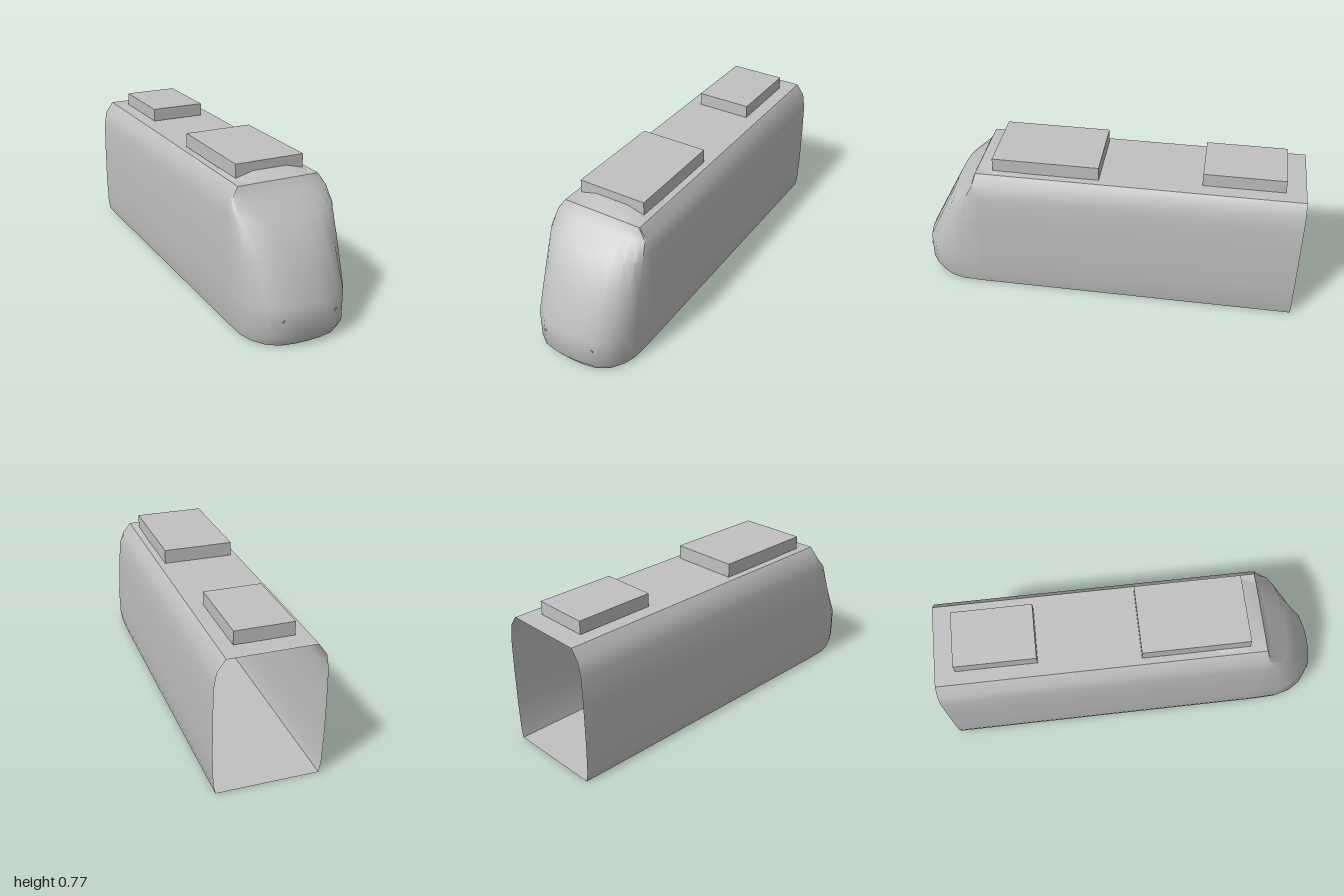
import * as THREE from 'three';
import { toCreasedNormals } from 'three/addons/utils/BufferGeometryUtils.js';

const NOSE_Z = 0.66;

// height, half width, furthest forward point of the nose
const LEVELS = [
  [0, 0.255, 0.96], [0.05, 0.265, 0.995], [0.2, 0.27, 0.99], [0.4, 0.27, 0.885],
  [0.56, 0.267, 0.8], [0.635, 0.254, 0.695], [0.692, 0.213, NOSE_Z],
];

// rounded plan of the nose: share of half width, share of depth
const PLAN = [[1, 0], [0.985, 0.4], [0.91, 0.62], [0.75, 0.82], [0.53, 0.945], [0.25, 0.99]];

// skin a grid of points; rows must all be the same length
function loft(rows, crease) {
  const n = rows[0].length;
  const index = [];
  for (let i = 0; i < rows.length - 1; i++) {
    for (let j = 0; j < n - 1; j++) {
      const a = i * n + j;
      index.push(a, a + 1, a + n, a + 1, a + n + 1, a + n);
    }
  }
  const geometry = new THREE.BufferGeometry();
  geometry.setAttribute('position', new THREE.Float32BufferAttribute(rows.flat(2), 3));
  geometry.setIndex(index);
  return toCreasedNormals(geometry, crease);
}

export function createModel() {
  const group = new THREE.Group();
  const grey = new THREE.MeshStandardMaterial({ color: 0xc0c0c0, side: THREE.DoubleSide });
  grey.name = 'light grey';

  const add = (name, geometry, x = 0, y = 0, z = 0) => {
    const mesh = new THREE.Mesh(geometry, grey);
    mesh.name = name;
    mesh.position.set(x, y, z);
    group.add(mesh);
    return mesh;
  };

  // long hollow body, open at the rear
  const right = LEVELS.map(([y, w]) => [w, y]);
  const left = LEVELS.map(([y, w]) => [-w, y]).reverse();
  const ring = [...right, ...left, right[0]];
  add('body', loft([-1, NOSE_Z].map((z) => ring.map(([x, y]) => [x, y, z])), 0.7));

  // sloping rounded nose, starting with its flat floor
  const plan = [...PLAN.map(([u, v]) => [-u, v]), [0, 1], ...PLAN.slice().reverse()];
  const noseRows = LEVELS.map(([y, w, front]) =>
    plan.map(([u, v]) => [u * w, y, NOSE_Z + v * (front - NOSE_Z)]));
  const floorRow = noseRows[0].map(([x, y]) => [x, y, NOSE_Z]);
  add('noseFloor', loft([floorRow, noseRows[0]], 0.7));
  add('nose', loft(noseRows, 0.8));

  // low fairing leading up to the front roof unit: z, base half width, top half width, top height
  const fairing = [[0.655, 0.16, 0.1, 0.693], [0.575, 0.2, 0.09, 0.722], [0.43, 0.2, 0.16, 0.702], [0.38, 0.17, 0.15, 0.692]];
  add('roofFairing', loft(fairing.reverse().map(([z, b, t, y]) =>
    [[b, 0.692, z], [t, y, z], [-t, y, z], [-b, 0.692, z]]), 0.6));

  // roof equipment boxes
  add('frontRoofUnit', new THREE.BoxGeometry(0.36, 0.072, 0.545), 0, 0.731, 0.3025);
  add('rearRoofUnit', new THREE.BoxGeometry(0.29, 0.068, 0.41), 0, 0.729, -0.692);

  // small six-sided lamps
  for (const side of [-1, 1]) {
    const lamp = add(side > 0 ? 'leftLamp' : 'rightLamp',
      new THREE.CylinderGeometry(0.008, 0.008, 0.012, 6), side * 0.137, 0.138, 0.972);
    lamp.rotation.set(Math.PI / 2, Math.PI / 6, 0);
  }

  return group;
}
